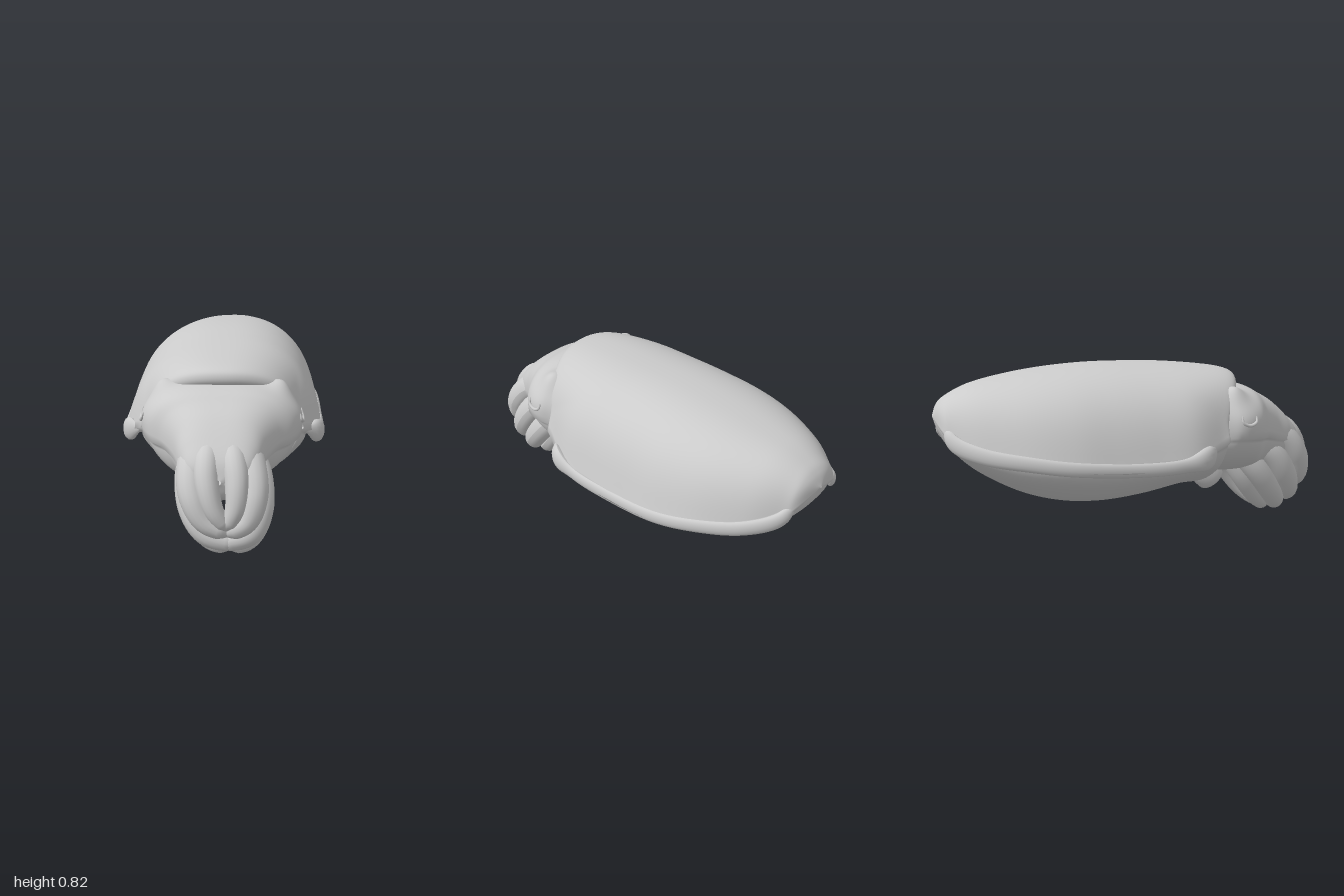
import * as THREE from 'three';

const material = new THREE.MeshStandardMaterial({ color: 0xcccccc, roughness: 0.8, side: THREE.DoubleSide });
const V = (x, y, z) => new THREE.Vector3(x, y, z);
const { smoothstep } = THREE.MathUtils;

function part(name, geometry) {
  const mesh = new THREE.Mesh(geometry, material);
  mesh.name = name;
  return mesh;
}

// Move every vertex by a rule
function deform(geometry, rule) {
  const p = geometry.attributes.position, v = V(0, 0, 0);
  for (let i = 0; i < p.count; i++) {
    rule(v.fromBufferAttribute(p, i), i);
    p.setXYZ(i, v.x, v.y, v.z);
  }
  geometry.computeVertexNormals();
  return geometry;
}

// Smooth skin over sections [z, seam y, upper half-width, lower half-width, top y, bottom y], front to back;
// flare widens the upper half towards the seam
function loft(sections, power, flare, steps = 96, around = 96) {
  const a = new THREE.CatmullRomCurve3(sections.map(s => V(s[0], s[1], s[2])), false, 'catmullrom');
  const b = new THREE.CatmullRomCurve3(sections.map(s => V(s[3], s[4], s[5])), false, 'catmullrom');
  const pos = [], index = [];
  for (let i = 0; i <= steps; i++) {
    const p = a.getPoint(i / steps), q = b.getPoint(i / steps);
    for (let j = 0; j < around; j++) {
      const t = (j / around) * Math.PI * 2, s = Math.sin(t), c = Math.cos(t);
      const upper = c > -1e-6;
      const e = 2 / (upper ? power : 2);
      const h = Math.abs(c) ** e;
      const width = upper ? p.z * (1 + flare * (1 - h) ** 4) : q.x;
      pos.push(Math.sign(s) * Math.abs(s) ** e * width,
        upper ? p.y + h * (q.y - p.y) : p.y - h * (p.y - q.z), p.x);
      if (i < steps) {
        const k = i * around + j, l = i * around + (j + 1) % around;
        index.push(k, l, k + around, l, l + around, k + around);
      }
    }
  }
  const g = new THREE.BufferGeometry();
  g.setAttribute('position', new THREE.Float32BufferAttribute(pos, 3));
  g.setIndex(index);
  g.computeVertexNormals();
  return g;
}

// Tube whose radius follows a rule; flat squeezes it sideways into a blade
function taperedTube(points, radius, { flat = 1, segments = 40, sides = 16 } = {}) {
  const curve = new THREE.CatmullRomCurve3(points);
  return deform(new THREE.TubeGeometry(curve, segments, 1, sides, false), (v, i) => {
    const t = Math.floor(i / (sides + 1)) / segments;
    const c = curve.getPointAt(t), r = Math.max(radius(t), 0.0005);
    v.sub(c).multiplyScalar(r).multiply(V(flat, 1, flat)).add(c);
  });
}

export function createModel() {
  const model = new THREE.Group();
  model.name = 'cuttlefish';

  // Mantle: rolled front lip with a forward dorsal flap, broad back flaring to the fins, keel-like belly
  const mantle = loft([
    [0.25, 0.46, 0.33, 0.33, 0.67, 0.25],
    [0.38, 0.46, 0.35, 0.35, 0.70, 0.22],
    [0.405, 0.46, 0.36, 0.37, 0.75, 0.20],
    [0.36, 0.44, 0.38, 0.39, 0.79, 0.195],
    [0.20, 0.375, 0.45, 0.41, 0.82, 0.195],
    [0.00, 0.36, 0.463, 0.415, 0.828, 0.155],
    [-0.20, 0.36, 0.465, 0.42, 0.828, 0.135],
    [-0.40, 0.38, 0.455, 0.41, 0.815, 0.15],
    [-0.60, 0.405, 0.405, 0.36, 0.79, 0.21],
    [-0.80, 0.43, 0.305, 0.26, 0.75, 0.325],
    [-0.92, 0.475, 0.205, 0.16, 0.70, 0.435],
    [-0.97, 0.54, 0.14, 0.10, 0.66, 0.515],
    [-1.00, 0.60, 0.004, 0.004, 0.604, 0.596],
  ], 2.4, 0.085);
  model.add(part('mantle', deform(mantle, v => {
    const front = smoothstep(v.z, 0.1, 0.4);
    const up = v.y - 0.46;
    v.z += front * (up > 0 ? 0.15 * Math.max(0, 1 - (v.x / 0.36) ** 2) * Math.min(1, up / 0.15) : 0.2 * up);
    v.y += 0.15 * v.x * Math.max(0, up) * (1 - front);
    v.x += 0.025 * (1 - smoothstep(v.y, 0.22, 0.34));
  })));

  // Head: wide at the eyes, narrowing into the arm crown, with swollen eyes and brows
  const head = loft([
    [0.93, 0.38, 0.01, 0.01, 0.39, 0.37],
    [0.90, 0.39, 0.13, 0.11, 0.47, 0.30],
    [0.83, 0.41, 0.18, 0.17, 0.55, 0.26],
    [0.75, 0.43, 0.215, 0.20, 0.62, 0.25],
    [0.67, 0.45, 0.27, 0.24, 0.665, 0.25],
    [0.60, 0.46, 0.335, 0.31, 0.70, 0.25],
    [0.49, 0.47, 0.365, 0.35, 0.718, 0.25],
    [0.40, 0.47, 0.345, 0.34, 0.715, 0.26],
    [0.20, 0.47, 0.28, 0.28, 0.65, 0.32],
  ], 2.9, 0);
  const swell = (v, x, y, z, size) => Math.exp(-((Math.abs(v.x) - x) ** 2 + (v.y - y) ** 2 + (v.z - z) ** 2) / size ** 2);
  model.add(part('head', deform(head, v => {
    const eye = swell(v, 0.36, 0.56, 0.52, 0.1), brow = swell(v, 0.28, 0.69, 0.47, 0.06);
    v.x += Math.sign(v.x) * (0.018 * eye + 0.01 * brow);
    v.y += 0.04 * brow;
  })));

  // Arms of one side, from the upper middle pair to the lowest pair: [path, thickness]
  const arms = [
    [[[0.04, 0.51, 0.74], [0.06, 0.455, 0.86], [0.065, 0.37, 0.92], [0.045, 0.26, 0.95], [-0.01, 0.16, 0.945]], 0.058],
    [[[0.10, 0.49, 0.68], [0.13, 0.42, 0.82], [0.135, 0.31, 0.90], [0.09, 0.20, 0.93], [-0.02, 0.14, 0.935]], 0.07],
    [[[0.11, 0.44, 0.62], [0.15, 0.34, 0.745], [0.145, 0.21, 0.835], [0.09, 0.12, 0.88], [-0.06, 0.08, 0.90]], 0.073],
    [[[0.12, 0.38, 0.56], [0.15, 0.26, 0.66], [0.135, 0.14, 0.755], [0.08, 0.065, 0.815], [-0.02, 0.04, 0.84]], 0.071],
    [[[0.08, 0.36, 0.52], [0.105, 0.22, 0.61], [0.09, 0.11, 0.69], [0.055, 0.055, 0.745], [0.0, 0.032, 0.78]], 0.066],
  ];
  const armRadius = r => t => r * (1 - 0.5 * t ** 2.5) * Math.sqrt(Math.min(1, (1 - t) / 0.1));

  // Fin edge running the length of the mantle, with a lobe at its front
  const finPath = [[0.40, 0.43, 0.33], [0.465, 0.40, 0.25], [0.485, 0.375, 0.12], [0.488, 0.37, -0.1], [0.478, 0.39, -0.4],
    [0.425, 0.415, -0.6], [0.322, 0.445, -0.8], [0.215, 0.49, -0.92], [0.14, 0.545, -0.96]];
  const finRadius = t => (0.034 + 0.025 * Math.exp(-(((t - 0.07) / 0.05) ** 2)) + 0.015 * t ** 4)
    * Math.sqrt(Math.min(1, t / 0.05, (1 - t) / 0.04));

  for (const s of [1, -1]) {
    const side = s > 0 ? 'left' : 'right';
    const path = points => points.map(([x, y, z]) => V(s * x, y, z));

    // The arm cluster sways to the left as it hangs
    arms.forEach(([points, r], i) => {
      const hanging = path(points).map(p => p.setX(p.x + 0.1 * Math.max(0, 0.5 - p.y)));
      model.add(part(`${side}Arm${i + 1}`, taperedTube(hanging, armRadius(r))));
    });
    model.add(part(`${side}Fin`, taperedTube(path(finPath), finRadius, { flat: 0.5, segments: 80 })));

    // Curved pupil slit
    const slit = path([[0.362, 0.58, 0.555], [0.371, 0.55, 0.55], [0.377, 0.535, 0.515], [0.377, 0.55, 0.48], [0.37, 0.585, 0.472]]);
    model.add(part(`${side}Pupil`, taperedTube(slit, t => 0.009 * Math.sqrt(Math.sin(Math.PI * t)), { sides: 8 })));
  }

  // Siphon: open funnel under the neck, with a rounded rim
  const funnel = new THREE.SplineCurve([[0.09, -0.1], [0.08, 0.0], [0.08, 0.07], [0.072, 0.115], [0.05, 0.13], [0.034, 0.115], [0.03, 0.02]]
    .map(([x, y]) => new THREE.Vector2(x, y)));
  const siphon = part('siphon', new THREE.LatheGeometry(funnel.getPoints(24), 32));
  siphon.position.set(0, 0.28, 0.39);
  siphon.rotation.x = Math.PI * 0.78;
  model.add(siphon);

  return model;
}
